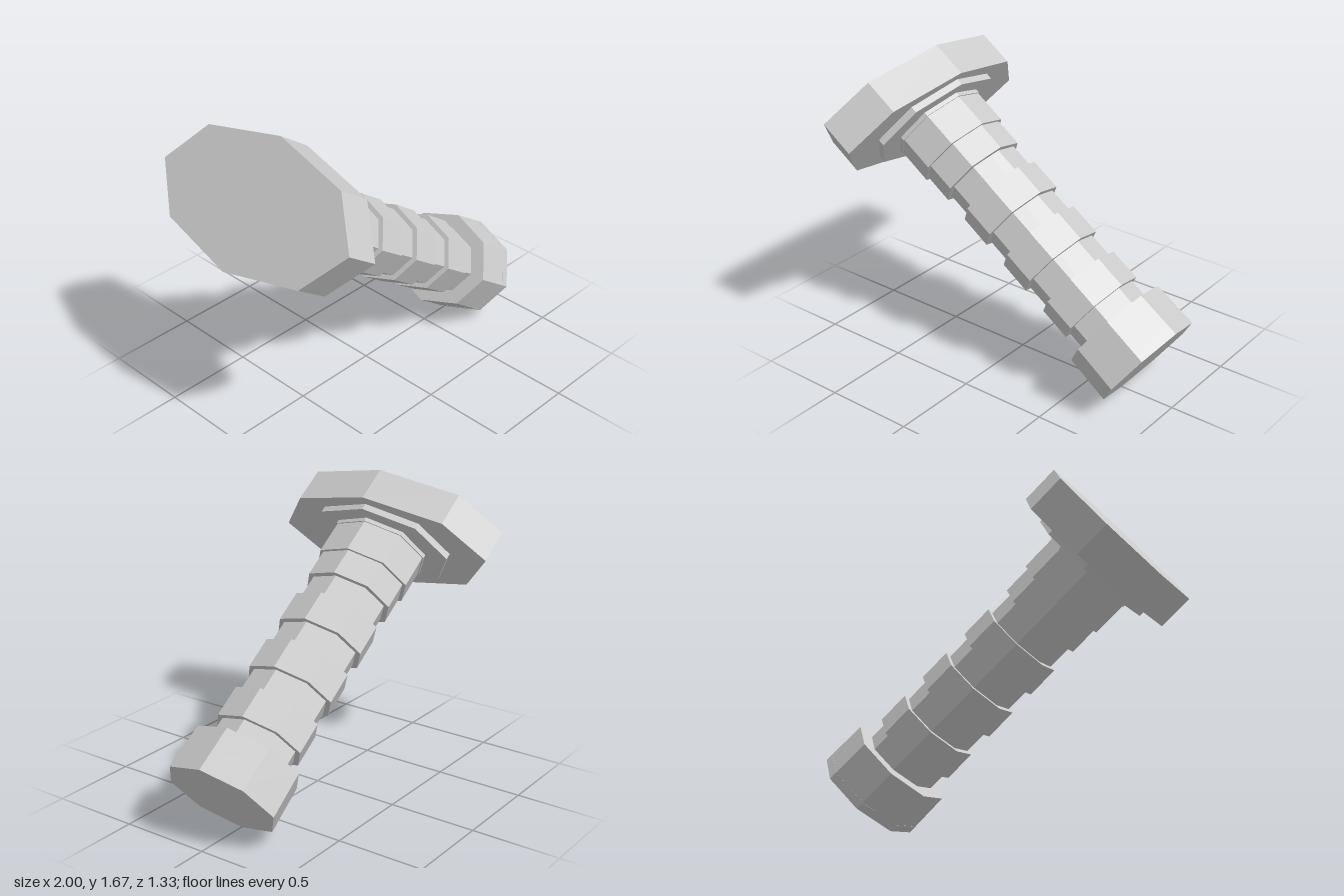
import * as THREE from 'three';

export function createModel() {
  const model = new THREE.Group();
  model.name = 'handle';
  const material = new THREE.MeshStandardMaterial({ color: 0xcccccc, flatShading: true });

  // Squashed octagonal section, measured along the axis from the head face.
  function section(name, start, end, across, wide, startScale = 1) {
    const length = end - start;
    const geometry = new THREE.CylinderGeometry(startScale, 1, length, 8);
    geometry.scale(across, 1, wide);
    geometry.translate(0, -(start + end) / 2, 0);
    const mesh = new THREE.Mesh(geometry, material);
    mesh.name = name;
    model.add(mesh);
  }

  // Head and flange
  section('head', 0, 0.21, 0.36, 0.665);
  section('flange', 0.2, 0.248, 0.308, 0.44);

  // Collar under the flange
  section('collarLip', 0.24, 0.272, 0.238, 0.303);
  section('collar', 0.26, 0.472, 0.232, 0.296);

  // Grip core with raised rings
  section('gripCore', 0.2, 1.75, 0.19, 0.243);
  for (let i = 0; i < 4; i++) {
    const start = 0.45 + i * 0.328;
    section('gripRing', start, start + 0.185, 0.218, 0.274);
  }

  // Pommel with a narrow end band
  section('pommel', 1.73, 1.95, 0.277, 0.338, 0.985);
  section('pommelEnd', 1.95, 1.997, 0.278, 0.339);

  // Lean the axis over to the side
  model.rotation.z = THREE.MathUtils.degToRad(55);
  model.position.set(-0.797, 1.375, 0);

  const root = new THREE.Group();
  root.add(model);
  return root;
}
